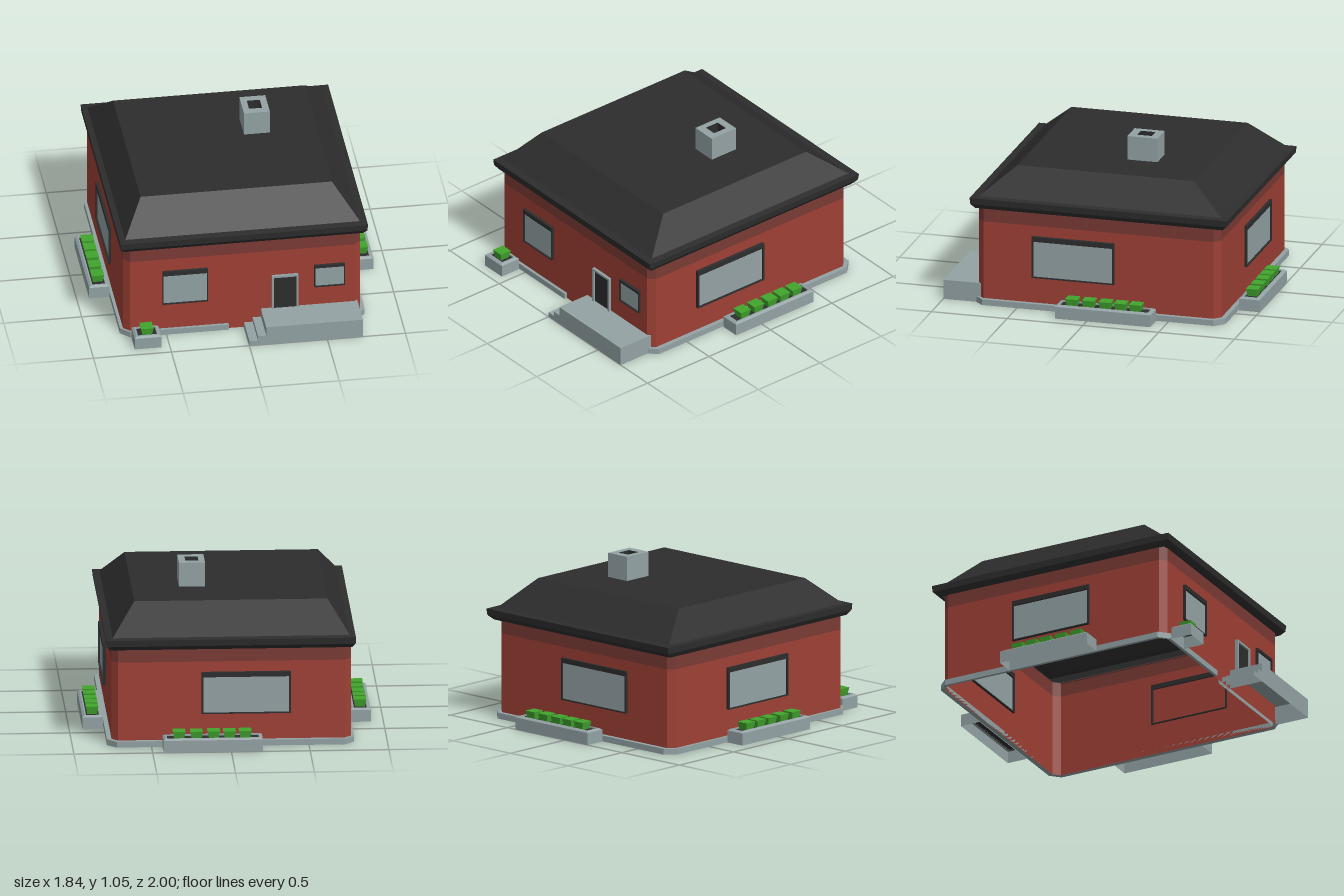
import * as THREE from 'three';

const mat = (name, color, side = THREE.DoubleSide) => {
  const m = new THREE.MeshStandardMaterial({ color, side });
  m.name = name;
  return m;
};

// Rectangle outline at height y, counter-clockwise from above, corners cut by c
function ring(y, x0, x1, z0, z1, c = 0) {
  const p = c
    ? [[x1, z1 - c], [x1, z0 + c], [x1 - c, z0], [x0 + c, z0], [x0, z0 + c], [x0, z1 - c], [x0 + c, z1], [x1 - c, z1]]
    : [[x1, z1], [x1, z0], [x0, z0], [x0, z1]];
  return p.map(([x, z]) => [x, y, z]);
}

// Faceted skin through a list of rings, optionally closed on top
function loft(rings, cap) {
  const v = [];
  const n = rings[0].length;
  for (let r = 0; r < rings.length - 1; r++) {
    for (let i = 0; i < n; i++) {
      const j = (i + 1) % n;
      const a = rings[r][i], b = rings[r][j], c = rings[r + 1][j], d = rings[r + 1][i];
      v.push(...a, ...b, ...c, ...a, ...c, ...d);
    }
  }
  if (cap) {
    const t = rings[rings.length - 1];
    for (let i = 1; i < n - 1; i++) v.push(...t[0], ...t[i], ...t[i + 1]);
  }
  const g = new THREE.BufferGeometry();
  g.setAttribute('position', new THREE.Float32BufferAttribute(v, 3));
  g.computeVertexNormals();
  return g;
}

export function createModel() {
  const brick = mat('brick red', 0x9e4035);
  const darkBrick = mat('dark brick red', 0x7a3a34);
  const stone = mat('stone grey', 0x93a2a4);
  const slate = mat('slate black', 0x2d2d2d);
  const leaf = mat('leaf green', 0x41a52d);

  const house = new THREE.Group();
  house.name = 'house';
  const add = (name, geo, material, parent = house) => {
    const m = new THREE.Mesh(geo, material);
    m.name = name;
    parent.add(m);
    return m;
  };

  // Hollow walls with cut corners and a darker band under the eaves
  const wall = y => ring(y, -0.77, 0.75, -0.83, 0.77, 0.04);
  add('walls', loft([wall(0), wall(0.55)]), brick);
  add('wallBand', loft([wall(0.55), wall(0.645)]), darkBrick);

  // Plinth strip, interrupted at the entrance
  const strip = [
    [-0.1, 0.79], [-0.73, 0.79], [-0.79, 0.73], [-0.79, -0.8], [-0.73, -0.86], [0.72, -0.86], [0.78, -0.8],
    [0.78, 0.73], [0.72, 0.79], [0.72, 0.77], [0.75, 0.73], [0.75, -0.79], [0.71, -0.83], [-0.73, -0.83],
    [-0.77, -0.79], [-0.77, 0.73], [-0.73, 0.77], [-0.1, 0.77],
  ].map(([x, z]) => new THREE.Vector2(x, -z));
  const plinth = new THREE.ExtrudeGeometry(new THREE.Shape(strip), { depth: 0.038, bevelEnabled: false });
  add('plinth', plinth.rotateX(-Math.PI / 2), stone);

  // Hipped roof with thick eaves and a flat top
  add('roof', loft([
    ring(0.637, -0.765, 0.745, -0.835, 0.765),
    ring(0.637, -0.775, 0.76, -0.85, 0.78),
    ring(0.668, -0.795, 0.785, -0.885, 0.805),
    ring(0.71, -0.797, 0.79, -0.89, 0.81),
    ring(0.714, -0.76, 0.745, -0.84, 0.76),
    ring(0.893, -0.63, 0.597, -0.615, 0.548),
  ], true), slate);

  // Chimney with a dark flue
  add('chimney', loft([
    ring(0.88, 0.13, 0.296, -0.288, -0.09), ring(1.05, 0.13, 0.296, -0.288, -0.09),
    ring(1.05, 0.17, 0.253, -0.238, -0.142),
  ]), stone);
  add('chimneyFlue', loft([
    ring(1.05, 0.17, 0.253, -0.238, -0.142), ring(0.9, 0.17, 0.253, -0.238, -0.142),
  ], true), slate);

  // Framed opening on a wall: local x/y in the wall plane, z outwards
  function opening(name, [u0, u1, y0, y1], [side, bottom, top], frameMat, paneMat, place) {
    const g = new THREE.Group();
    g.name = name;
    const rect = (C, a, b, c, d) => new C([[a, c], [b, c], [b, d], [a, d]].map(p => new THREE.Vector2(...p)));
    const shape = rect(THREE.Shape, u0, u1, y0, y1);
    shape.holes.push(rect(THREE.Path, u0 + side, u1 - side, y0 + bottom, y1 - top));
    const frame = new THREE.ExtrudeGeometry(shape, { depth: 0.032, bevelEnabled: false });
    add(name + 'Frame', frame.translate(0, 0, -0.01), frameMat, g);
    const pane = new THREE.BoxGeometry(u1 - u0 - 0.004, y1 - y0 - 0.004, 0.008);
    add(name + 'Pane', pane.translate((u0 + u1) / 2, (y0 + y1) / 2, 0.006), paneMat, g);
    place(g);
    house.add(g);
  }
  const onFront = g => { g.position.z = 0.767; };
  const onBack = g => { g.position.z = -0.825; g.rotation.y = Math.PI; };
  const onLeft = g => { g.position.x = 0.75; g.rotation.y = Math.PI / 2; };
  const onRight = g => { g.position.x = -0.765; g.rotation.y = -Math.PI / 2; };
  const trim = [0.01, 0.007, 0.032];
  opening('frontLargeWindow', [-0.523, -0.234, 0.223, 0.465], [0.005, 0.005, 0.03], slate, stone, onFront);
  opening('frontSmallWindow', [0.45, 0.645, 0.263, 0.422], [0.006, 0.005, 0.018], slate, stone, onFront);
  opening('door', [0.177, 0.347, 0.12, 0.37], [0.013, 0.004, 0.014], stone, slate, onFront);
  opening('leftWindow', [-0.405, 0.135, 0.208, 0.482], trim, slate, stone, onLeft);
  opening('rightWindow', [-0.32, 0.23, 0.208, 0.482], trim, slate, stone, onRight);
  opening('backWindow', [-0.18, 0.385, 0.208, 0.482], trim, slate, stone, onBack);

  // Entrance platform and its side steps, open underneath
  for (const [name, x0, x1, h] of [
    ['lowStep', 0, 0.055, 0.033], ['highStep', 0.055, 0.108, 0.066], ['platform', 0.108, 0.728, 0.127],
  ]) add(name, loft([ring(0, x0, x1, 0.745, 1), ring(h, x0, x1, 0.745, 1)], true), stone);

  // Planter with bevelled rim, soil and shrubs spread along its long side
  function planter(name, x0, x1, z0, z1, shrubs) {
    const g = new THREE.Group();
    g.name = name;
    const inset = (y, d) => ring(y, x0 + d, x1 - d, z0 + d, z1 - d);
    add(name + 'Box', loft([inset(0, 0), inset(0.078, 0), inset(0.088, 0.014), inset(0.088, 0.024), inset(0.078, 0.024)]), stone, g);
    add(name + 'Soil', loft([inset(0.07, 0.024), inset(0.079, 0.024)], true), slate, g);
    const cx = (x0 + x1) / 2, cz = (z0 + z1) / 2, alongX = x1 - x0 > z1 - z0;
    for (const s of shrubs) {
      const x = cx + (alongX ? s : 0), z = cz + (alongX ? 0 : s);
      const sq = (y, r) => ring(y, x - r, x + r, z - r, z + r);
      add('shrub', loft([sq(0.079, 0.031), sq(0.128, 0.04)], true), leaf, g);
    }
    house.add(g);
  }
  const row = [-0.205, -0.105, -0.005, 0.105, 0.215];
  planter('leftPlanter', 0.785, 0.915, -0.42, 0.21, row);
  planter('rightPlanter', -0.92, -0.79, -0.335, 0.29, row);
  planter('backPlanter', -0.2, 0.43, -1, -0.865, row);
  planter('frontPlanter', -0.725, -0.555, 0.795, 0.935, [0]);

  return house;
}
